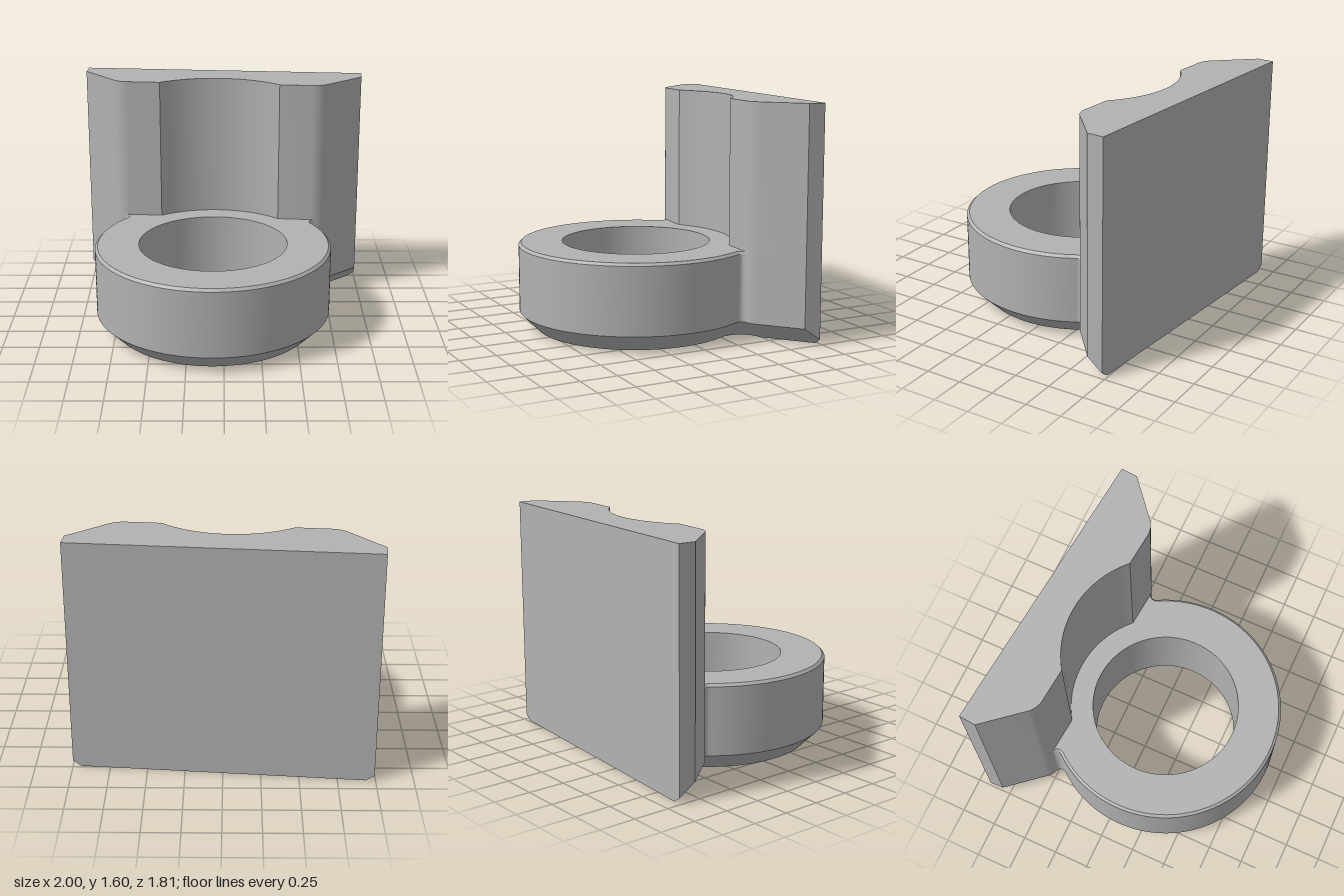
import * as THREE from 'three';
import { toCreasedNormals } from 'three/addons/utils/BufferGeometryUtils.js';

// Plan dimensions, in a frame centred on the bore: u along the plate, v to the front
const RING = 0.815, BORE = 0.513, RECESS = 0.667;
const HALF = 1.0, BACK = -0.909, FACE = -0.514, SLANT = 0.206;
const CORNER = 0.155, FILLET = 0.04;
const BASE_CHAMFER = 0.12, RIM = 0.018, RING_TOP = 0.6, PLATE_TOP = 1.6;

const cornerC = [0.655, FACE - CORNER];

// Centre of the fillet that touches both the ring and the rounded plate corner
const filletC = (() => {
  const dist = Math.hypot(...cornerC), r0 = RING + FILLET, r1 = CORNER + FILLET;
  const along = (r0 * r0 - r1 * r1 + dist * dist) / (2 * dist);
  const off = Math.sqrt(r0 * r0 - along * along);
  const [cu, cv] = cornerC.map((c) => c / dist);
  return [cu * along - cv * off, cv * along + cu * off];
})();

// Points on an arc; the radius may change from r0 to r1
function arc([cu, cv], r0, r1, a0, a1, n) {
  return Array.from({ length: n + 1 }, (_, i) => {
    const t = i / n, a = a0 + (a1 - a0) * t, r = r0 + (r1 - r0) * t;
    return [cu + r * Math.cos(a), cv + r * Math.sin(a)];
  });
}

// Closes a right half, which starts on the axis, with its mirror image
const mirrored = (half) => [...half, ...half.slice(1).reverse().map(([u, v]) => [-u, v])];

// Slanted flank, end face and back corner, with the flank inset by d
function plateEnd(d) {
  const k = SLANT - d * Math.SQRT2;
  return [
    k - HALF > BACK ? [HALF, k - HALF] : [k - BACK, BACK],
    [Math.min(HALF, k - BACK), BACK],
  ];
}

// Full outline; ringInset applies to the ring, inset to the plate
function bodyOutline(inset, ringInset = inset) {
  const toFillet = Math.atan2(filletC[1], filletC[0]);
  const toCorner = Math.atan2(cornerC[1] - filletC[1], cornerC[0] - filletC[0]);
  const fromCorner = toCorner + Math.PI;
  return mirrored([
    ...arc([0, 0], RING - ringInset, RING - ringInset, Math.PI / 2, toFillet, 48),
    ...arc(filletC, FILLET + ringInset, FILLET + inset, toFillet + Math.PI, toCorner + 2 * Math.PI, 12).slice(1),
    ...arc(cornerC, CORNER - inset, CORNER - inset, fromCorner, Math.PI / 4, 8).slice(1),
    ...plateEnd(inset),
  ]);
}

// Outline of the plate alone, with the curved recess in its front
function plateOutline() {
  return mirrored([
    ...arc([0, 0], RECESS, RECESS, -Math.PI / 2, -Math.asin(-FACE / RECESS), 16),
    ...arc(cornerC, CORNER, CORNER, Math.PI / 2, Math.PI / 4, 10),
    ...plateEnd(0),
  ]);
}

// Wall through a stack of [height, loop] levels
function wall(levels) {
  const pos = [];
  for (let l = 0; l < levels.length - 1; l++) {
    const [y0, low] = levels[l], [y1, high] = levels[l + 1];
    low.forEach((_, i) => {
      const j = (i + 1) % low.length;
      const a = [low[i][0], y0, low[i][1]], b = [low[j][0], y0, low[j][1]];
      const c = [high[j][0], y1, high[j][1]], d = [high[i][0], y1, high[i][1]];
      pos.push(...a, ...b, ...c, ...a, ...c, ...d);
    });
  }
  const geo = new THREE.BufferGeometry();
  geo.setAttribute('position', new THREE.Float32BufferAttribute(pos, 3));
  return toCreasedNormals(geo, 0.45);
}

// Shape from a loop, with an optional round hole; sign -1 for faces turned up
function toShape(loop, sign, hole = 0) {
  const shape = new THREE.Shape(loop.map(([u, v]) => new THREE.Vector2(u, sign * v)));
  if (hole) shape.holes.push(new THREE.Path().absarc(0, 0, hole, 0, Math.PI * 2, true));
  return shape;
}

export function createModel() {
  const steel = new THREE.MeshStandardMaterial({ color: 0xb2b2b2 });
  steel.name = 'plain grey';

  const model = new THREE.Group();
  model.name = 'ringBracket';
  const bracket = new THREE.Group();
  bracket.name = 'bracket';
  bracket.rotation.y = -THREE.MathUtils.degToRad(4.95);
  bracket.position.set(-0.075, 0, 0.087);
  model.add(bracket);

  const add = (name, geo) => {
    const mesh = new THREE.Mesh(geo, steel);
    mesh.name = name;
    bracket.add(mesh);
  };

  // Ring and plate foot, with a wide chamfer below and a fine one on the rim
  const bottom = bodyOutline(BASE_CHAMFER), top = bodyOutline(0, RIM);
  const endInset = (SLANT - HALF - BACK) / Math.SQRT2;
  add('bodyWall', wall([
    [0, bottom],
    [BASE_CHAMFER - endInset, bodyOutline(endInset)],
    [BASE_CHAMFER, bodyOutline(0)],
    [RING_TOP - RIM, bodyOutline(0)],
    [RING_TOP, top],
  ]));
  add('bodyUnderside', new THREE.ShapeGeometry(toShape(bottom, 1, BORE + 0.02), 48).rotateX(Math.PI / 2));
  add('ringTop', new THREE.ShapeGeometry(toShape(top, -1, BORE), 48)
    .rotateX(-Math.PI / 2).translate(0, RING_TOP, 0));

  // Bore, facing inwards, with a small chamfer at the bottom
  const circle = (r) => arc([0, 0], r, r, 0, Math.PI * 2, 96).slice(1);
  add('bore', wall([[0, circle(BORE + 0.02)], [0.02, circle(BORE)], [RING_TOP, circle(BORE)]]));

  // Upright plate
  const plate = new THREE.ExtrudeGeometry(toShape(plateOutline(), -1),
    { depth: PLATE_TOP - RING_TOP, bevelEnabled: false });
  add('uprightPlate', toCreasedNormals(plate.rotateX(-Math.PI / 2).translate(0, RING_TOP, 0), 0.45));

  return model;
}
